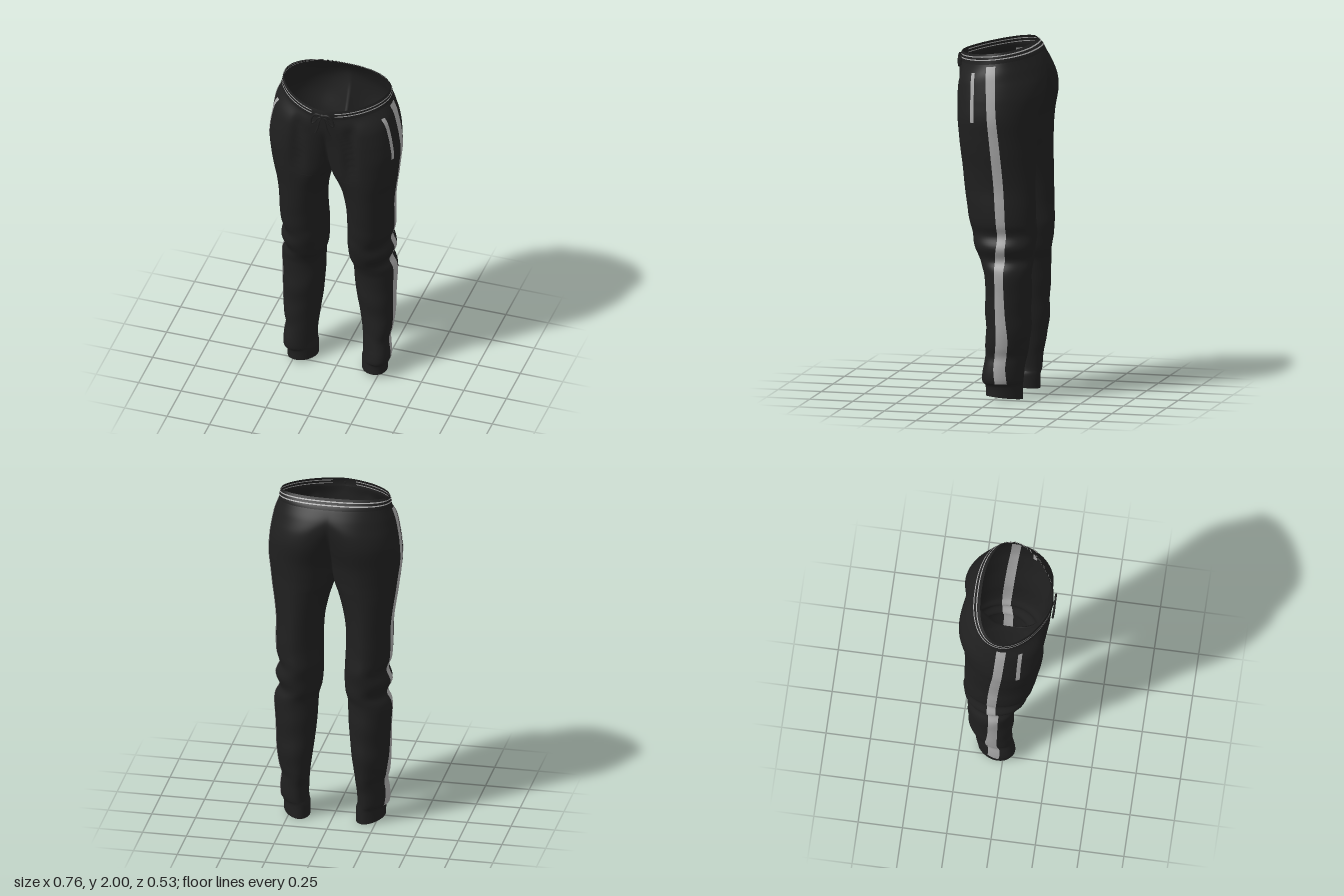
import * as THREE from 'three';
import { mergeGeometries, mergeVertices } from 'three/addons/utils/BufferGeometryUtils.js';

// Half-garment outline by height: y, outer x, inner x (negative = halves overlap), front z, back z
const OUTLINE = [
  [0.00, .285, .135, .050, -.150], [0.085, .290, .135, .052, -.150],
  [0.105, .304, .142, .066, -.155], [0.15, .307, .143, .066, -.160],
  [0.20, .303, .140, .058, -.165], [0.25, .296, .136, .052, -.175],
  [0.30, .308, .130, .050, -.185], [0.40, .320, .115, .046, -.200],
  [0.50, .324, .102, .054, -.200], [0.60, .328, .092, .056, -.204],
  [0.70, .334, .087, .060, -.206], [0.75, .328, .084, .076, -.207],
  [0.80, .305, .070, .098, -.212], [0.87, .329, .064, .122, -.225],
  [0.94, .306, .065, .139, -.230], [1.00, .324, .067, .150, -.230],
  [1.10, .330, .069, .166, -.226], [1.20, .330, .064, .180, -.225],
  [1.30, .340, .045, .191, -.224], [1.40, .355, .016, .203, -.225],
  [1.44, .360, .000, .208, -.226], [1.50, .367, -.016, .214, -.228],
  [1.60, .377, -.040, .223, -.238], [1.70, .370, -.075, .229, -.261],
  [1.75, .363, -.108, .232, -.265], [1.80, .354, -.165, .236, -.260],
  [1.85, .343, -.250, .240, -.243], [1.90, .324, -.318, .244, -.215],
  [1.93, .314, -.314, .245, -.193], [1.97, .307, -.307, .244, -.155],
];
const smooth = THREE.MathUtils.smoothstep;
const lerp = THREE.MathUtils.lerp;

// Smooth interpolation through rows of [y, ...values]
function sample(table, y) {
  let i = 0;
  while (i < table.length - 2 && y > table[i + 1][0]) i++;
  const at = k => table[Math.min(Math.max(k, 0), table.length - 1)];
  const [p, a, b, q] = [at(i - 1), at(i), at(i + 1), at(i + 2)];
  const h = b[0] - a[0], t = THREE.MathUtils.clamp((y - a[0]) / h, 0, 1);
  return a.slice(1).map((v, k) => {
    const c = k + 1, m0 = (b[c] - p[c]) / (b[0] - p[0]) * h, m1 = (q[c] - a[c]) / (q[0] - a[0]) * h;
    const t2 = t * t, t3 = t2 * t;
    return (2 * t3 - 3 * t2 + 1) * v + (t3 - 2 * t2 + t) * m0 + (3 * t2 - 2 * t3) * b[c] + (t3 - t2) * m1;
  });
}

// Cross-section with its own depth and roundness for front, inner front and back
function section(y) {
  const [xo, xi, zf, zb] = sample(OUTLINE, y);
  const hips = smooth(y, 1.3, 1.5), waist = smooth(y, 1.8, 1.94);
  const cz = lerp((zf + zb) / 2, -0.005, waist);
  return {
    cx: (xo + xi) / 2, a: (xo - xi) / 2, cz, front: zf - cz, back: cz - zb,
    nOuter: lerp(2 + 0.3 * hips, 1.65, waist), nInner: lerp(2.1 + 0.8 * hips, 1.65, waist),
    nBack: lerp(1.87, 2.35, waist),
  };
}

// Point on the cloth; angle 0 faces outward, positive angles go to the front
function surface(y, angle, off = 0) {
  const s = section(y), isFront = angle > 0;
  const n = !isFront ? s.nBack : angle < Math.PI / 2 ? s.nOuter : s.nInner;
  const pw = v => Math.sign(v) * Math.abs(v) ** (2 / n);
  const zone = smooth(y, 0.12, 0.3) * (1 - smooth(y, 0.95, 1.2));
  const fold = 1 + 0.012 * zone * Math.sin(y * 36 + 2 * Math.sin(angle + 0.6)) * Math.sin(angle) ** 2;
  let x = s.cx + (s.a * fold + off) * pw(Math.cos(angle));
  let z = s.cz + ((isFront ? s.front : s.back) * fold + off) * pw(Math.sin(angle));
  // ankles turn slightly outward
  x += 0.22 * (1 - smooth(y, 0.25, 0.75)) * (z - s.cz);
  if (y > 1.44) x = Math.max(x, 0);
  // soft pleat below the front of the waistband
  if (isFront) {
    const pleat = smooth(y, 1.4, 1.6) * (1 - smooth(y, 1.8, 1.91));
    z -= 0.022 * pleat * Math.sin(angle) ** 2 * Math.exp(-(((x - 0.155) / 0.035) ** 2));
  }
  // the waist rises to the back, the hems drop to the back and inside
  const top = smooth(y, 1.6, 1.96) * (z - 0.045) * -0.135;
  const hem = (1 - smooth(y, 0, 0.1)) * ((z + 0.05) * 0.1 + (x - 0.21) * 0.08);
  return new THREE.Vector3(x, y + top + hem, z);
}

// Angles at which the half section meets the middle of the garment
function limits(y) {
  const s = section(y), r = THREE.MathUtils.clamp(s.cx / s.a, 0, 1);
  const end = n => (y <= 1.44 ? Math.PI : Math.acos(-(r ** (n / 2))));
  return [-end(s.nBack), end(s.nInner)];
}

// Grid of points(u, v), with u running up and v running toward the front
function grid(rows, cols, side, point) {
  const pos = [], idx = [];
  for (let i = 0; i <= rows; i++) {
    for (let j = 0; j <= cols; j++) {
      const p = point(i / rows, j / cols);
      pos.push(p.x * side, p.y, p.z);
      if (i === rows || j === cols) continue;
      const a = i * (cols + 1) + j, up = a + cols + 1;
      if (side > 0) idx.push(a, up, a + 1, a + 1, up, up + 1);
      else idx.push(a, a + 1, up, a + 1, up + 1, up);
    }
  }
  const g = new THREE.BufferGeometry();
  g.setAttribute('position', new THREE.Float32BufferAttribute(pos, 3));
  g.setIndex(idx);
  return g;
}

function finish(parts) {
  const g = mergeVertices(mergeGeometries(parts), 1e-5);
  g.computeVertexNormals();
  return g;
}

// Both halves of the cloth between two heights; reach < 1 leaves a gap at the front
function loft(y0, y1, rows, off = () => 0, reach = 1) {
  return finish([1, -1].map(side => grid(rows, 72, side, (u, v) => {
    const y = y0 + (y1 - y0) * u, [lo, hi] = limits(y);
    return surface(y, v < 0.5 ? lo * (1 - 2 * v) : hi * reach * (2 * v - 1), off(u));
  })));
}

// Band on the outer side, seen on both faces of the cloth; path rows are [y, front z, back z]
function sideBand(path, rows, side) {
  const y0 = path[0][0], y1 = path[path.length - 1][0];
  return finish([0.0035, -0.0035].map(lift => grid(rows, 4, side, (u, v) => {
    const y = y0 + (y1 - y0) * u, s = section(y), [zf, zb] = sample(path, y);
    const dz = zb + (zf - zb) * v - s.cz;
    const k = dz / (dz > 0 ? s.front : s.back), n = dz > 0 ? s.nOuter : s.nBack;
    const p = surface(y, Math.asin(Math.sign(k) * Math.abs(k) ** (n / 2)));
    p.x += lift;
    return p;
  })));
}

const STRIPE = [[0.10, -.020, -.085], [0.2, -.012, -.078], [0.35, -.028, -.094], [0.5, -.025, -.082],
  [0.7, -.022, -.075], [0.8, -.020, -.078], [0.9, -.034, -.084], [1.1, -.026, -.080],
  [1.4, -.008, -.062], [1.65, .010, -.042], [1.9, .026, -.028]];
const POCKET = [[1.59, .108, .086], [1.75, .112, .090], [1.87, .116, .094]];

export function createModel() {
  const group = new THREE.Group();
  const cloth = new THREE.MeshStandardMaterial({ color: 0x202020, side: THREE.DoubleSide });
  cloth.name = 'black cloth';
  const trim = new THREE.MeshStandardMaterial({ color: 0xa8a8a8, side: THREE.DoubleSide });
  trim.name = 'light grey trim';
  const add = (name, geometry, material) => {
    const mesh = new THREE.Mesh(geometry, material);
    mesh.name = name;
    group.add(mesh);
  };

  // Cloth: hems, legs up to the hips, raised waistband
  add('ankleCuffs', loft(0.014, 0.102, 10), cloth);
  add('legsAndHips', loft(0.1, 1.44, 110), cloth);
  add('seat', loft(1.44, 1.92, 64), cloth);
  add('waistband', loft(1.912, 1.97, 10, u => 0.004 * Math.sin(Math.PI * u)), cloth);

  // Side stripes and pocket edges
  for (const side of [1, -1]) {
    const label = side > 0 ? 'left' : 'right';
    add(label + 'SideStripe', sideBand(STRIPE, 140, side), trim);
    add(label + 'PocketEdge', sideBand(POCKET, 24, side), trim);
  }

  // Two rows of stitching round the waistband, outside and inside, open behind the bow
  for (const y of [1.934, 1.952]) {
    add('outerStitching', loft(y, y + 0.006, 1, () => 0.006, 0.82), trim);
    add('innerStitching', loft(y, y + 0.005, 1, () => 0.001, 0.82), trim);
  }

  // Drawstring bow: knot, two loops and two hanging ends
  const cord = (name, pts, closed) => add(name, new THREE.TubeGeometry(
    new THREE.CatmullRomCurve3(pts.map(p => new THREE.Vector3(...p)), closed), 32, 0.0055, 6, closed), cloth);
  const knot = new THREE.SphereGeometry(0.013, 12, 8);
  knot.scale(1.2, 1, 0.6);
  knot.translate(0, 1.913, 0.255);
  add('drawstringKnot', knot, cloth);
  for (const s of [1, -1]) {
    cord('drawstringLoop', [[0, 1.912, .256], [s * .035, 1.922, .257], [s * .06, 1.895, .256],
      [s * .064, 1.855, .253], [s * .045, 1.865, .254], [s * .025, 1.895, .256]], true);
    cord('drawstringEnd', [[0, 1.91, .257], [s * .018, 1.87, .256], [s * .026, 1.83, .254],
      [s * .042, 1.785, .25]], false);
  }
  return group;
}
